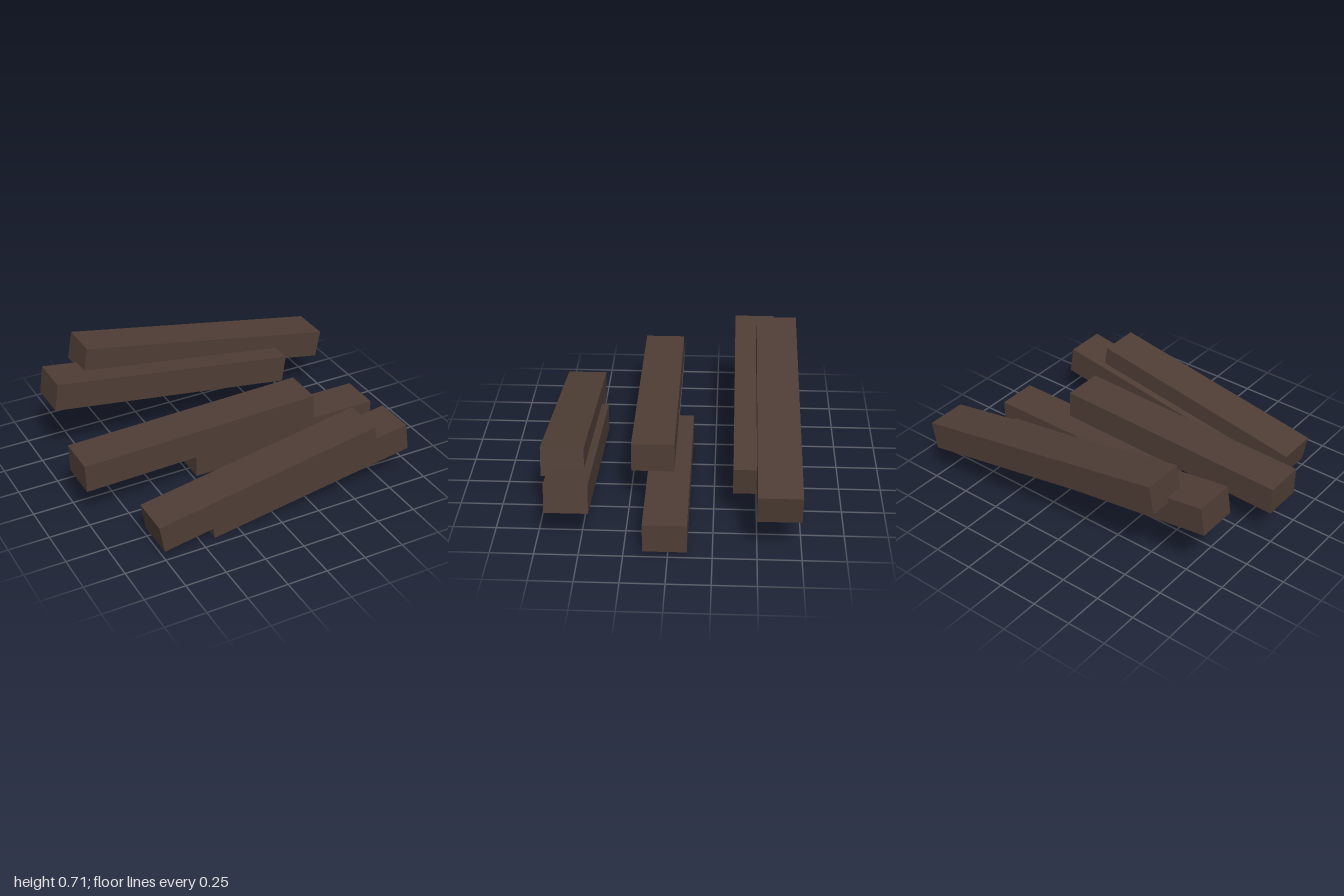
import * as THREE from 'three';

export function createModel() {
  const model = new THREE.Group();
  model.name = 'fallenBeams';
  const wood = new THREE.MeshStandardMaterial({ color: 0x4e3d35 });
  wood.name = 'dark wood';

  // Every beam shares one section; each has its own length, place and tilt (degrees)
  const height = 0.175, depth = 0.25;
  const beams = [
    ['backUpperBeam', 1.69, 0.153, 0.473, -0.618, -10.4],
    ['backLowerBeam', 1.59, -0.14, 0.402, -0.485, -8.2],
    ['middleUpperBeam', 1.51, -0.243, 0.333, 0.107, 1.5],
    ['middleLowerBeam', 1.245, 0.375, 0.125, 0.016, 0],
    ['frontUpperBeam', 1.42, -0.066, 0.265, 0.617, 9.8],
    ['frontLowerBeam', 1.33, 0.23, 0.195, 0.572, 9.1],
  ];
  for (const [name, length, x, y, z, tilt] of beams) {
    const beam = new THREE.Mesh(new THREE.BoxGeometry(length, height, depth), wood);
    beam.name = name;
    beam.position.set(x, y, z);
    beam.rotation.z = THREE.MathUtils.degToRad(tilt);
    model.add(beam);
  }
  return model;
}
